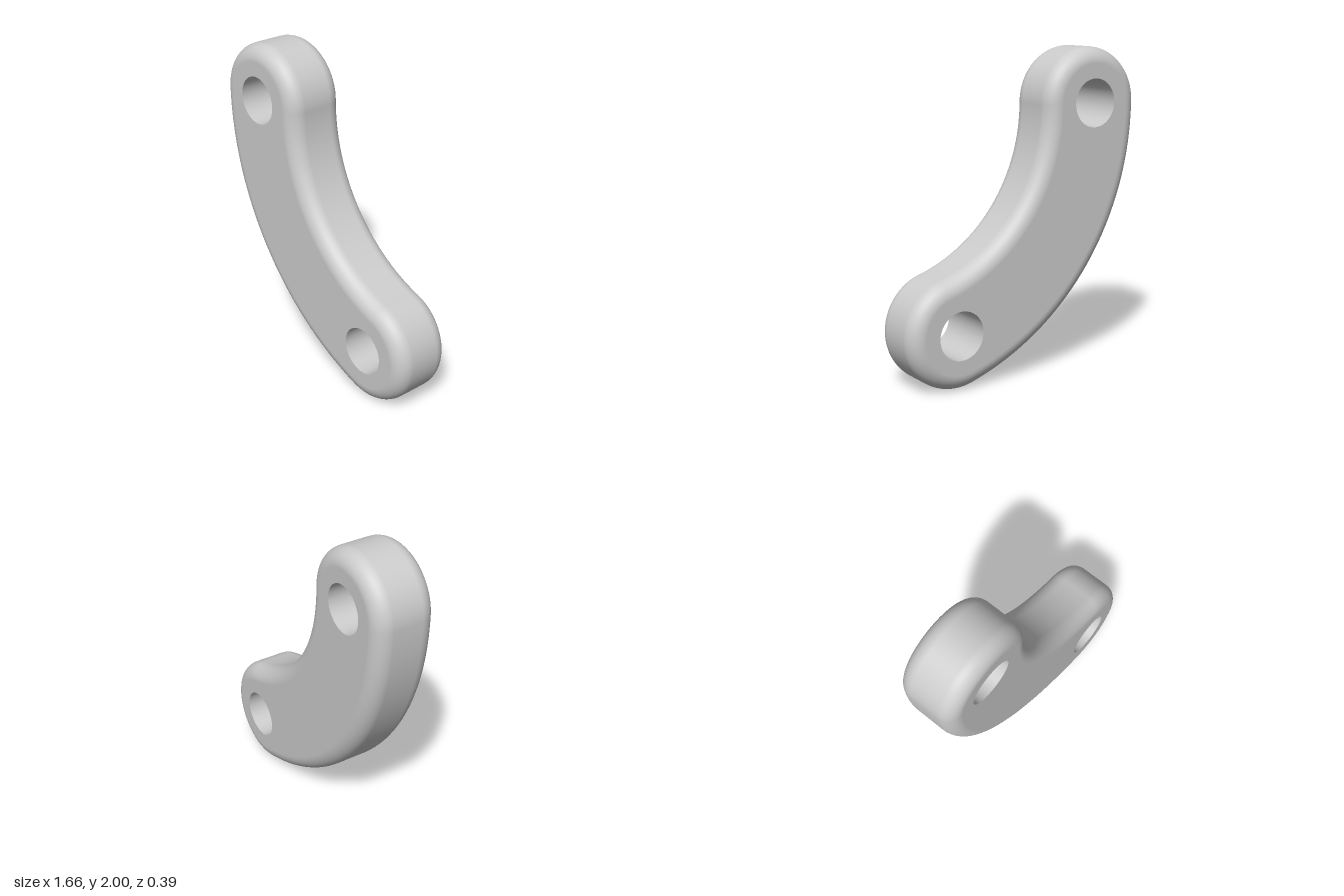
import * as THREE from 'three';

const HALF_WIDTH = 0.342, HALF_DEPTH = 0.195, FILLET = 0.1, HOLE = 0.15;
const ENDS = [new THREE.Vector2(-0.49, 2 - HALF_WIDTH), new THREE.Vector2(0.49, HALF_WIDTH)];

// Centreline: an arc that starts straight down at the upper end
const chord = ENDS[1].clone().sub(ENDS[0]);
const SWEEP = 2 * (Math.PI / 2 + Math.atan2(chord.y, chord.x));
const RADIUS = chord.length() / 2 / Math.sin(SWEEP / 2);
const CENTRE = new THREE.Vector2(ENDS[0].x + RADIUS, ENDS[0].y);

// Counter-clockwise stations: a point on the centreline and an outward direction
function makeStations() {
  const stations = [];
  const add = (base, angle) =>
    stations.push({ base, dir: new THREE.Vector2(Math.cos(angle), Math.sin(angle)) });
  const onArc = (t) =>
    new THREE.Vector2(Math.cos(t), Math.sin(t)).multiplyScalar(RADIUS).add(CENTRE);
  const n = 32, end = Math.PI + SWEEP;
  for (let i = 0; i < n; i++) add(ENDS[0], (Math.PI * i) / n);
  for (let i = 0; i < n; i++) {
    const t = Math.PI + (SWEEP * i) / n;
    add(onArc(t), t);
  }
  for (let i = 0; i < n; i++) add(ENDS[1], end + (Math.PI * i) / n);
  for (let i = 0; i < n; i++) {
    const t = end - (SWEEP * i) / n;
    add(onArc(t), t + Math.PI);
  }
  return stations;
}

const offset = (s, w) => s.base.clone().addScaledVector(s.dir, w);

// Rim: the rounded edge profile carried around the outline
function rimGeometry(stations) {
  const profile = [];
  const steps = 10;
  for (const side of [-1, 1]) {
    for (let k = 0; k <= steps; k++) {
      const a = ((side < 0 ? k - steps : k) / steps) * (Math.PI / 2);
      profile.push({
        w: HALF_WIDTH - FILLET + FILLET * Math.cos(a),
        z: side * (HALF_DEPTH - FILLET) + FILLET * Math.sin(a),
        a,
      });
    }
  }
  const positions = [], normals = [], index = [];
  const n = stations.length;
  profile.forEach(({ w, z, a }, j) => {
    stations.forEach((s, i) => {
      const p = offset(s, w);
      positions.push(p.x, p.y, z);
      normals.push(s.dir.x * Math.cos(a), s.dir.y * Math.cos(a), Math.sin(a));
      if (j === profile.length - 1) return;
      const i2 = (i + 1) % n;
      const p0 = j * n + i, p1 = j * n + i2;
      index.push(p0, p1, p1 + n, p0, p1 + n, p0 + n);
    });
  });
  const geometry = new THREE.BufferGeometry();
  geometry.setAttribute('position', new THREE.Float32BufferAttribute(positions, 3));
  geometry.setAttribute('normal', new THREE.Float32BufferAttribute(normals, 3));
  geometry.setIndex(index);
  return geometry;
}

// Flat face with the two pin holes
function faceGeometry(stations) {
  const shape = new THREE.Shape(stations.map((s) => offset(s, HALF_WIDTH - FILLET)));
  for (const c of ENDS) {
    const points = [];
    for (let i = 0; i < 48; i++) {
      const a = (-i / 48) * Math.PI * 2;
      points.push(new THREE.Vector2(c.x + HOLE * Math.cos(a), c.y + HOLE * Math.sin(a)));
    }
    shape.holes.push(new THREE.Path(points));
  }
  return new THREE.ShapeGeometry(shape);
}

export function createModel() {
  const group = new THREE.Group();
  group.name = 'curvedLink';
  const material = new THREE.MeshStandardMaterial({ color: 0xcccccc });
  const inside = new THREE.MeshStandardMaterial({ color: 0xcccccc, side: THREE.BackSide });
  const add = (name, geometry, mat = material) => {
    const mesh = new THREE.Mesh(geometry, mat);
    mesh.name = name;
    group.add(mesh);
    return mesh;
  };

  const stations = makeStations();
  add('roundedRim', rimGeometry(stations));

  const face = faceGeometry(stations);
  add('frontFace', face).position.z = HALF_DEPTH;
  // The back face is the same outline with its triangles turned over
  const back = face.clone();
  const order = Array.from(face.index.array).reverse();
  back.setIndex(order);
  back.computeVertexNormals();
  add('backFace', back).position.z = -HALF_DEPTH;

  // Straight bores through both ends
  ENDS.forEach((c, i) => {
    const bore = new THREE.CylinderGeometry(HOLE, HOLE, 2 * HALF_DEPTH, 48, 1, true);
    bore.rotateX(Math.PI / 2);
    add(i === 0 ? 'upperHole' : 'lowerHole', bore, inside).position.set(c.x, c.y, 0);
  });

  return group;
}
